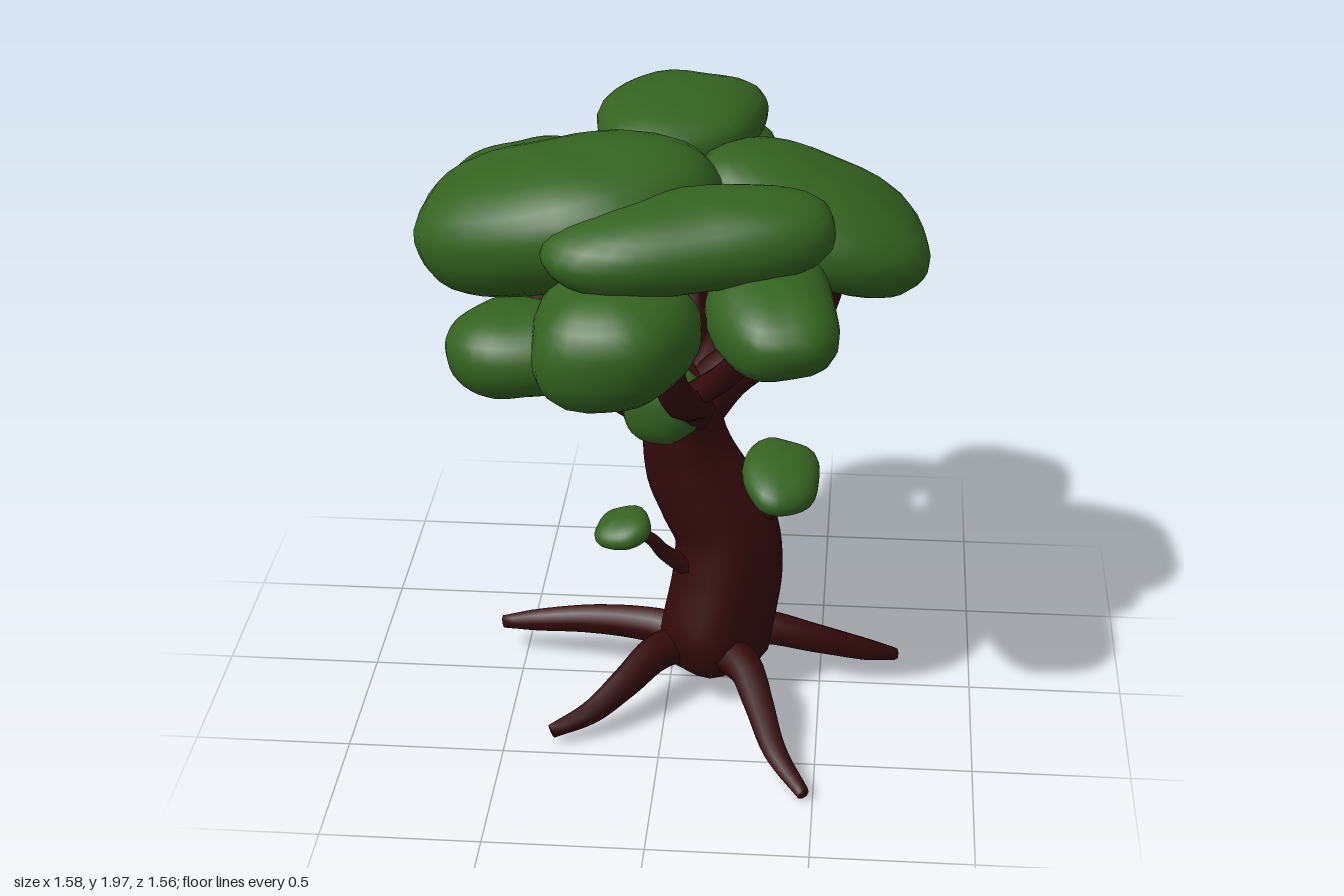
import * as THREE from 'three';
import { mergeVertices } from 'three/addons/utils/BufferGeometryUtils.js';

const V = (p) => new THREE.Vector3(...p);

// Merge seams so the normals run smoothly all round
function smooth(geo) {
  geo.deleteAttribute('uv');
  geo.deleteAttribute('normal');
  const g = mergeVertices(geo, 1e-4);
  g.computeVertexNormals();
  return g;
}

// Tapered limb with blunt ends: points are [x, y, z, radius]; ridge gives a fluted section
function limbGeometry(points, sides, ridge) {
  const curve = new THREE.CatmullRomCurve3(points.map((p) => V(p.slice(0, 3))));
  const segs = (points.length - 1) * 5 + 2;
  const geo = new THREE.TubeGeometry(curve, segs, 1, sides);
  const pos = geo.attributes.position;
  const v = new THREE.Vector3();
  for (let i = 0; i <= segs; i++) {
    const u = THREE.MathUtils.clamp((i - 1) / (segs - 2), 0, 1);
    const frameCentre = curve.getPointAt(i / segs);
    const c = curve.getPointAt(u);
    const f = curve.getUtoTmapping(u) * (points.length - 1);
    const k = Math.min(Math.floor(f), points.length - 2);
    let r = THREE.MathUtils.lerp(points[k][3], points[k + 1][3], f - k);
    if (i === 0 || i === segs) r = 0;
    for (let j = 0; j <= sides; j++) {
      const n = i * (sides + 1) + j;
      const a = (j / sides) * Math.PI * 2;
      const flute = 1 + ridge * Math.cos(a * 5 + u * 1.5) + ridge * 0.5 * Math.sin(a * 3);
      v.fromBufferAttribute(pos, n).sub(frameCentre).multiplyScalar(r * flute).add(c);
      pos.setXYZ(n, v.x, v.y, v.z);
    }
  }
  return smooth(geo);
}

// Leaf clump: a full, slightly boxy cushion with gentle lumps
function clumpGeometry(size, seed) {
  const geo = smooth(new THREE.SphereGeometry(1, 28, 18));
  const pos = geo.attributes.position;
  const v = new THREE.Vector3();
  const P = 2.3;
  for (let i = 0; i < pos.count; i++) {
    v.fromBufferAttribute(pos, i);
    const a = Math.atan2(v.z, v.x);
    const flat = Math.hypot(v.x, v.z);
    const norm = Math.pow(Math.abs(v.x) ** P + Math.abs(v.y) ** P + Math.abs(v.z) ** P, 1 / P);
    const lump = 1 + flat * (0.03 * Math.sin(3 * a + seed * 2.9) + 0.025 * Math.sin(5 * a + seed * 1.7))
      + 0.025 * Math.sin(3 * v.y + 2 * v.x + seed);
    v.multiplyScalar(lump / norm);
    pos.setXYZ(i, v.x * size[0], v.y * size[1], v.z * size[2]);
  }
  geo.computeVertexNormals();
  return geo;
}

export function createModel() {
  const tree = new THREE.Group();
  tree.name = 'tree';
  const bark = new THREE.MeshStandardMaterial({ name: 'bark', color: 0x340a0b });
  const leaf = new THREE.MeshStandardMaterial({ name: 'leaf', color: 0x346320 });

  const limb = (name, points, sides = 8, ridge = 0.05) => {
    const mesh = new THREE.Mesh(limbGeometry(points, sides, ridge), bark);
    mesh.name = name;
    tree.add(mesh);
  };

  // Trunk with an S-shaped lean
  limb('trunk', [
    [0.145, 0.13, 0.05, 0.14], [0.15, 0.22, 0.05, 0.18], [0.185, 0.45, 0.02, 0.175], [0.175, 0.6, 0.005, 0.165],
    [0.12, 0.71, 0.0, 0.16], [0.065, 0.82, 0.0, 0.15], [0.035, 0.96, 0.01, 0.128], [0.045, 1.1, 0.01, 0.125],
    [0.07, 1.18, 0.01, 0.08],
  ], 20, 0.06);

  // Roots spread from the foot of the trunk to these tips
  const foot = V([0.14, 0.19, 0.04]);
  [[0.75, 0.03, -0.16], [0.47, 0.04, 0.71], [-0.35, 0.06, 0.45], [-0.58, 0.115, -0.13], [0.03, 0.045, -0.625]]
    .forEach((tip, i) => {
      const t = V(tip);
      const bend = (i % 2 ? 1 : -1) * 0.025;
      const at = (f, y) => {
        const p = foot.clone().lerp(t, f);
        return [p.x + bend * Math.sin(f * 6), y, p.z + bend * Math.cos(f * 5)];
      };
      const drop = (f) => THREE.MathUtils.lerp(0.2, tip[1], f);
      limb('root', [
        [...at(0.05, 0.19), 0.07], [...at(0.3, 0.2), 0.06], [...at(0.55, drop(0.3)), 0.05],
        [...at(0.8, drop(0.72)), 0.038], [...tip, 0.022],
      ]);
    });

  // Main branches and their forks
  limb('rightBranch', [[0.06, 1.0, 0, 0.1], [0.17, 1.15, 0.03, 0.088], [0.34, 1.3, 0.08, 0.075], [0.46, 1.45, 0.1, 0.065], [0.5, 1.6, 0.08, 0.05]]);
  limb('rightFork', [[0.26, 1.24, 0.04, 0.05], [0.37, 1.29, -0.1, 0.045], [0.46, 1.38, -0.25, 0.04]]);
  limb('leftBranch', [[0.04, 0.95, 0, 0.1], [-0.12, 1.06, 0.02, 0.075], [-0.3, 1.16, 0.03, 0.06], [-0.39, 1.28, -0.03, 0.055], [-0.44, 1.62, -0.15, 0.045]]);
  limb('leftFork', [[-0.28, 1.15, 0.03, 0.05], [-0.34, 1.22, 0.17, 0.047], [-0.4, 1.36, 0.32, 0.04]]);
  limb('frontBranch', [[0.05, 1.0, 0.02, 0.09], [0.08, 1.11, 0.16, 0.065], [0.07, 1.2, 0.34, 0.055], [0.04, 1.3, 0.43, 0.052], [0.02, 1.44, 0.47, 0.05]]);
  limb('frontFork', [[0.07, 1.16, 0.24, 0.045], [0.2, 1.3, 0.33, 0.042], [0.3, 1.5, 0.45, 0.04]]);
  limb('backBranch', [[0.05, 0.98, 0, 0.09], [0.04, 1.07, -0.18, 0.07], [0.03, 1.16, -0.34, 0.062], [0.03, 1.32, -0.41, 0.058], [0.04, 1.75, -0.45, 0.05]]);
  limb('backFork', [[0.03, 1.33, -0.41, 0.042], [-0.12, 1.4, -0.52, 0.04], [-0.24, 1.47, -0.62, 0.036]]);
  limb('middleBranch', [[0.1, 1.1, 0, 0.07], [0.16, 1.25, -0.03, 0.055], [0.19, 1.42, -0.03, 0.055], [0.15, 1.72, 0.02, 0.045]]);

  // Twigs that carry the small clumps
  limb('twig', [[0.08, 0.48, 0.1, 0.035], [-0.01, 0.57, 0.15, 0.025], [-0.05, 0.64, 0.19, 0.02], [-0.12, 0.69, 0.23, 0.016]], 6);
  limb('twig', [[0.22, 0.6, 0.03, 0.04], [0.31, 0.66, 0.04, 0.03], [0.34, 0.73, 0.05, 0.024], [0.36, 0.8, 0.06, 0.02]], 6);
  limb('twig', [[0.12, 0.55, -0.08, 0.02], [0.08, 0.57, -0.16, 0.015], [0.05, 0.59, -0.2, 0.01]], 6);

  // Leaf clumps: name, centre, half sizes, rotation
  [
    ['topLeftClump', [-0.32, 1.73, 0.14], [0.48, 0.215, 0.34], [0, -0.15, 0.27]],
    ['topFrontClump', [0.1, 1.77, 0.42], [0.44, 0.135, 0.19], [0.15, 0.22, 0.07]],
    ['topBackClump', [0.01, 1.855, -0.38], [0.265, 0.115, 0.33], [-0.02, -0.15, 0]],
    ['topRightClump', [0.455, 1.675, -0.04], [0.38, 0.15, 0.3], [0, -0.15, -0.42]],
    ['frontLeftClump', [-0.13, 1.495, 0.53], [0.25, 0.185, 0.25], [0.1, 0, 0.1]],
    ['frontRightClump', [0.34, 1.575, 0.49], [0.19, 0.135, 0.28], [0.18, 0.2, 0.05]],
    ['lowLeftClump', [-0.43, 1.39, 0.39], [0.22, 0.14, 0.2], [0, -0.3, 0.1]],
    ['leftBackClump', [-0.46, 1.68, -0.24], [0.25, 0.13, 0.17], [0, 0.25, 0.1]],
    ['backLeftClump', [-0.23, 1.54, -0.58], [0.23, 0.12, 0.16], [0, 0.45, 0]],
    ['backClump', [0.16, 1.64, -0.54], [0.14, 0.12, 0.25], [0, -0.1, 0]],
    ['lowBackRightClump', [0.45, 1.43, -0.27], [0.165, 0.11, 0.29], [-0.42, -0.2, 0]],
    ['trunkFrontClump', [-0.015, 1.08, 0.11], [0.13, 0.13, 0.095], [0, 0, 0]],
    ['trunkBackClump', [-0.06, 1.075, -0.14], [0.1, 0.14, 0.1], [0.25, 0, 0]],
    ['rightTwigClump', [0.36, 0.81, 0.06], [0.125, 0.07, 0.165], [0.22, 0, -0.08]],
    ['leftTwigClump', [-0.13, 0.695, 0.23], [0.09, 0.045, 0.09], [0.2, 0, 0.25]],
    ['backTwigClump', [0.05, 0.595, -0.21], [0.05, 0.02, 0.05], [0.2, 0, 0]],
  ].forEach(([name, centre, size, turn], i) => {
    const mesh = new THREE.Mesh(clumpGeometry(size, i + 1), leaf);
    mesh.name = name;
    mesh.position.set(...centre);
    mesh.rotation.set(...turn);
    tree.add(mesh);
  });

  return tree;
}
